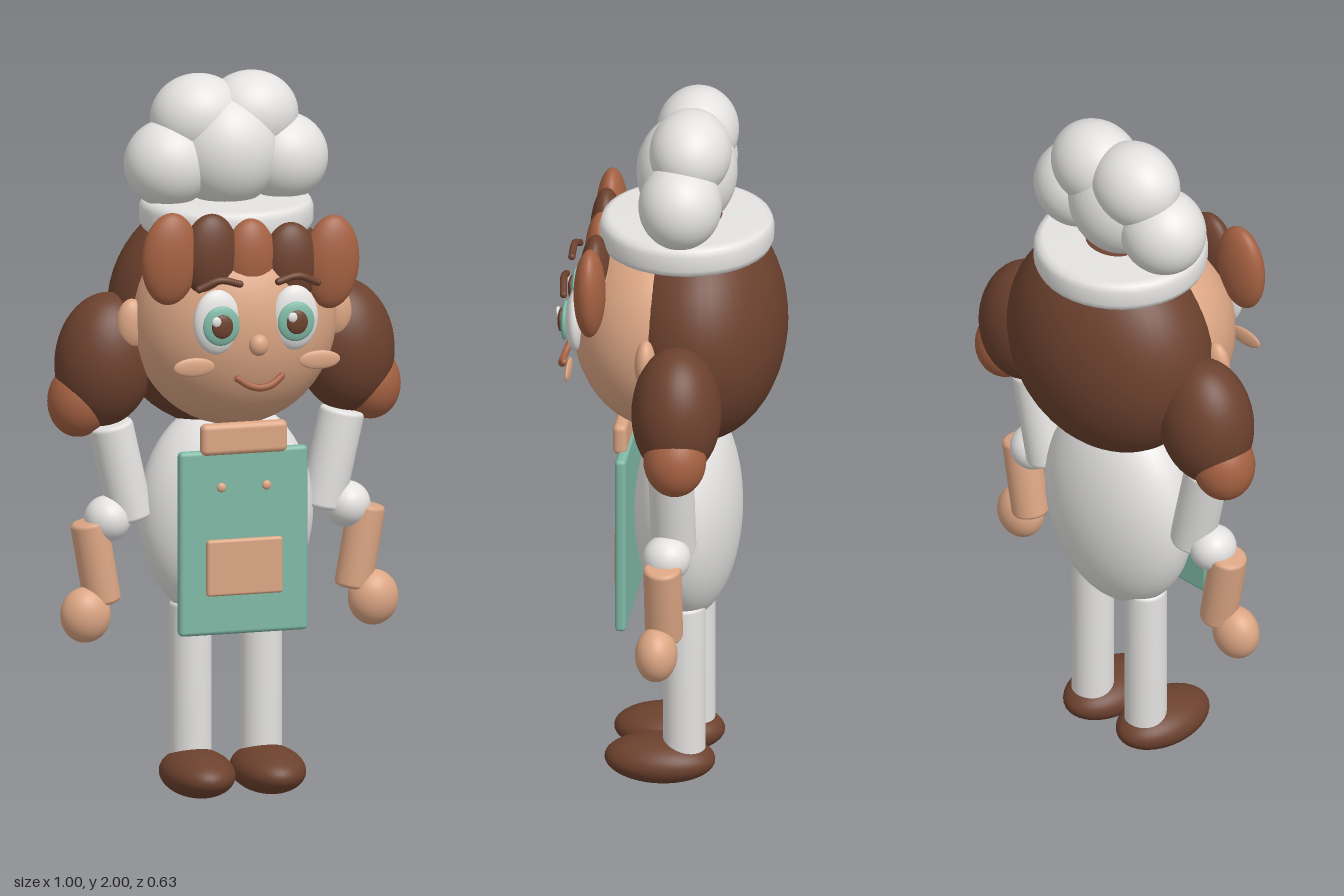
import * as THREE from 'three';
import { RoundedBoxGeometry } from 'three/addons/geometries/RoundedBoxGeometry.js';

const mat = (name, color) => {
  const m = new THREE.MeshStandardMaterial({ color });
  m.name = name;
  return m;
};

export function createModel() {
  const model = new THREE.Group();
  model.name = 'cookFigure';

  const white = mat('white', 0xe4e3e1);
  const skin = mat('skin', 0xdca684);
  const darkHair = mat('darkBrown', 0x6c412e);
  const lightHair = mat('lightBrown', 0xa56142);
  const teal = mat('teal', 0x7fb9a6);

  const ball = new THREE.SphereGeometry(1, 40, 28);
  const add = (name, geometry, material, pos = [0, 0, 0]) => {
    const mesh = new THREE.Mesh(geometry, material);
    mesh.name = name;
    mesh.position.set(...pos);
    model.add(mesh);
    return mesh;
  };
  // Ellipsoid from centre and radii, optionally leaning sideways
  const blob = (name, material, pos, radii, lean = 0) => {
    const mesh = add(name, ball, material, pos);
    mesh.scale.set(...radii);
    mesh.rotation.z = lean;
    return mesh;
  };
  // Lathed cylinder with softened rims
  const drum = (r, h, b) => new THREE.LatheGeometry([
    [0, -h / 2], [r - b, -h / 2], [r - b * 0.3, -h / 2 + b * 0.3], [r, -h / 2 + b],
    [r, h / 2 - b], [r - b * 0.3, h / 2 - b * 0.3], [r - b, h / 2], [0, h / 2],
  ].map(([x, y]) => new THREE.Vector2(x, y)), 40);
  // Limb between two points
  const limb = (name, material, from, to, r) => {
    const a = new THREE.Vector3(...from), b = new THREE.Vector3(...to);
    const dir = b.clone().sub(a);
    const mesh = add(name, drum(r, dir.length(), 0.012), material, a.clone().add(b).multiplyScalar(0.5).toArray());
    mesh.quaternion.setFromUnitVectors(new THREE.Vector3(0, 1, 0), dir.normalize());
    return mesh;
  };
  const slab = (name, material, pos, [w, h, d], r) =>
    add(name, new RoundedBoxGeometry(w, h, d, 3, r), material, pos);
  const stroke = (name, material, points, r) => {
    const curve = new THREE.CatmullRomCurve3(points.map((p) => new THREE.Vector3(...p)));
    add(name, new THREE.TubeGeometry(curve, 24, r, 10), material);
    blob(name + 'Start', material, points[0], [r, r, r]);
    blob(name + 'End', material, points[points.length - 1], [r, r, r]);
  };

  // Torso and apron
  blob('torso', white, [0, 0.78, -0.045], [0.245, 0.315, 0.146]);
  slab('apron', teal, [0, 0.73, 0.12], [0.365, 0.515, 0.03], 0.012);
  slab('apronPocket', skin, [0, 0.662, 0.138], [0.215, 0.157, 0.02], 0.008);
  slab('collar', skin, [0, 1.02, 0.13], [0.245, 0.088, 0.038], 0.016);

  // Head and back hair
  blob('head', skin, [0, 1.34, 0.03], [0.285, 0.3, 0.242]);
  blob('backHair', darkHair, [0, 1.34, -0.08], [0.322, 0.33, 0.235]);

  // Paired parts
  for (const s of [-1, 1]) {
    blob('pigtail', darkHair, [s * 0.34, 1.22, -0.057], [0.138, 0.186, 0.123], s * 0.12);
    blob('pigtailTip', lightHair, [s * 0.412, 1.11, -0.062], [0.086, 0.102, 0.086], s * 0.1);
    blob('ear', skin, [s * 0.29, 1.335, 0.035], [0.043, 0.07, 0.03]);

    limb('upperArm', white, [s * 0.33, 1.045, -0.04], [s * 0.27, 0.775, -0.04], 0.062);
    blob('elbow', white, [s * 0.34, 0.78, -0.03], [0.064, 0.064, 0.066]);
    limb('forearm', skin, [s * 0.395, 0.778, -0.025], [s * 0.355, 0.548, -0.025], 0.052);
    blob('hand', skin, [s * 0.408, 0.52, -0.01], [0.07, 0.077, 0.058]);

    limb('leg', white, [s * 0.1, 0.08, -0.046], [s * 0.1, 0.535, -0.046], 0.058);
    blob('shoe', darkHair, [s * 0.1, 0.066, 0.021], [0.1, 0.064, 0.152]);

    blob('eyeWhite', white, [s * 0.11, 1.375, 0.25], [0.066, 0.09, 0.028]);
    blob('iris', teal, [s * 0.106, 1.37, 0.28], [0.052, 0.055, 0.012]);
    blob('pupil', darkHair, [s * 0.106, 1.37, 0.292], [0.03, 0.033, 0.009]);
    blob('eyeGlint', white, [s * 0.108 - 0.018, 1.387, 0.303], [0.013, 0.014, 0.006]);
    blob('cheek', skin, [s * 0.178, 1.255, 0.262], [0.058, 0.026, 0.008]);
    stroke('eyebrow', darkHair, [[s * 0.168, 1.475, 0.277], [s * 0.11, 1.498, 0.284], [s * 0.055, 1.485, 0.284]], 0.01);
    blob('apronButton', skin, [s * 0.064, 0.885, 0.136], [0.013, 0.013, 0.008]);
  }

  // Nose and mouth
  blob('nose', skin, [0, 1.31, 0.28], [0.027, 0.03, 0.022]);
  stroke('mouth', lightHair, [[-0.062, 1.222, 0.29], [-0.03, 1.202, 0.3], [0, 1.196, 0.303], [0.03, 1.202, 0.3], [0.062, 1.222, 0.29]], 0.01);

  // Fringe locks, alternating in tone
  [
    [-0.228, 1.547, 0.08, 0.128, -0.06],
    [-0.113, 1.548, 0.078, 0.118, -0.03],
    [0, 1.53, 0.072, 0.116, 0],
    [0.115, 1.513, 0.078, 0.116, 0.03],
    [0.23, 1.512, 0.078, 0.13, -0.06],
  ].forEach(([x, y, rx, ry, lean], i) =>
    blob('fringeLock', i % 2 ? darkHair : lightHair, [x, y, 0.197], [rx, ry, 0.043], lean));

  // Hat band and puffs
  add('hatBand', drum(0.238, 0.09, 0.025), white, [0, 1.615, -0.04]);
  blob('hatPuffMiddle', white, [0, 1.79, -0.04], [0.15, 0.16, 0.138]);
  for (const s of [-1, 1]) {
    blob('hatPuffSide', white, [s * 0.163, 1.76, -0.043], [0.123, 0.122, 0.114]);
    blob('hatPuffTop', white, [s * 0.075, 1.88, -0.06], [0.132, 0.12, 0.112]);
  }

  return model;
}
